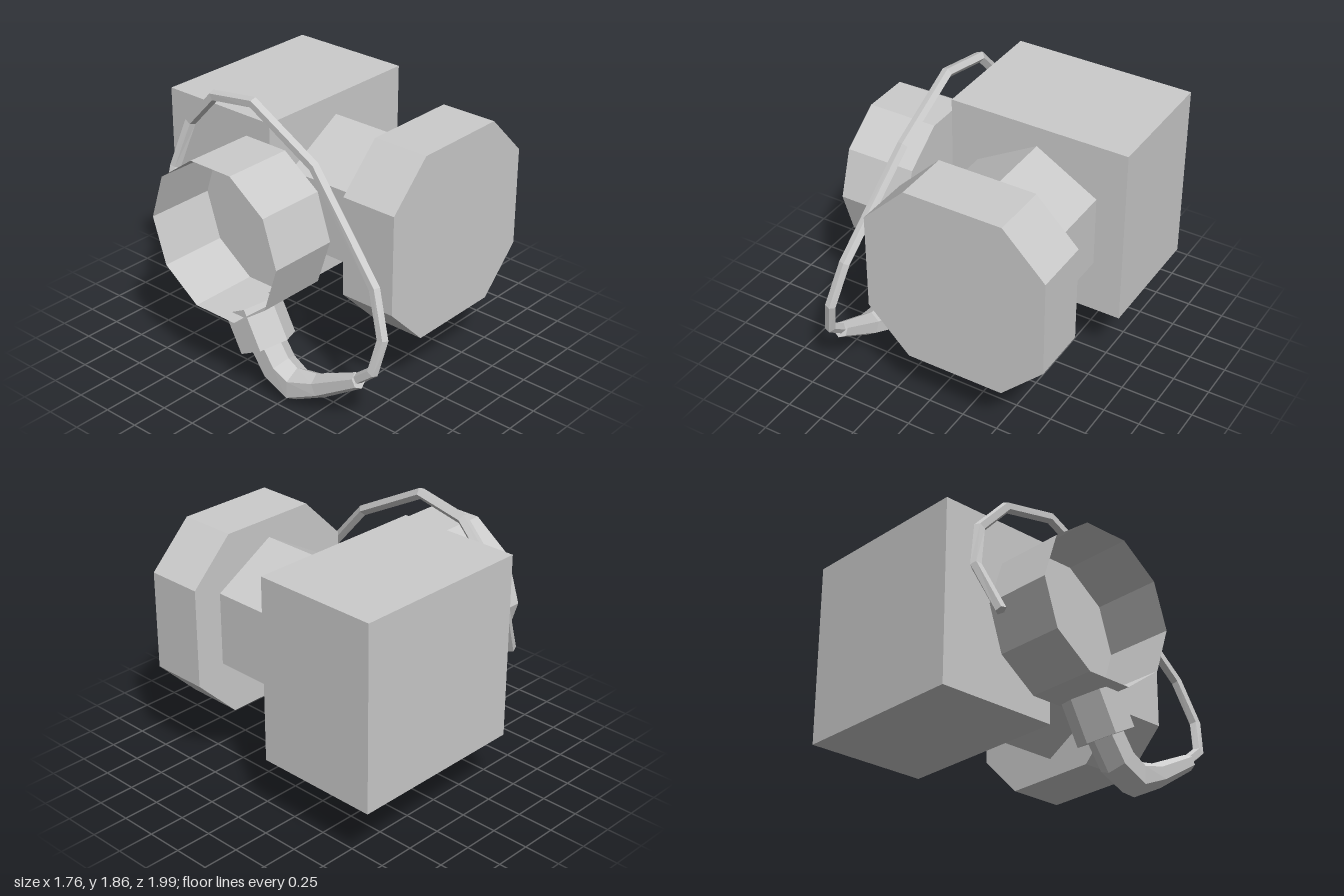
import * as THREE from 'three';

const material = new THREE.MeshStandardMaterial({ color: 0xcccccc, flatShading: true });
const openMaterial = new THREE.MeshStandardMaterial({ color: 0xcccccc, flatShading: true, side: THREE.DoubleSide });

// Faceted tube through points [x, y, z, radius], closed at both ends
function sweep(points, sides, phase) {
  const centres = points.map(p => new THREE.Vector3(p[0], p[1], p[2]));
  const last = centres.length - 1;
  const pos = [], index = [];
  centres.forEach((c, i) => {
    const before = c.clone().sub(centres[Math.max(i - 1, 0)]).normalize();
    const after = centres[Math.min(i + 1, last)].clone().sub(c).normalize();
    const t = before.clone().add(after).normalize();
    const s = new THREE.Vector3(1, 0, 0);
    s.addScaledVector(t, -s.dot(t)).normalize();
    const n = t.clone().cross(s);
    // widen the mitre so that the tube keeps its thickness in bends
    const mitre = (i === 0 || i === last) ? 1 : 1 / Math.sqrt((1 + before.dot(after)) / 2);
    for (let j = 0; j < sides; j++) {
      const a = phase + j / sides * Math.PI * 2;
      const v = c.clone().addScaledVector(s, points[i][3] * Math.cos(a))
        .addScaledVector(n, points[i][3] * mitre * Math.sin(a));
      pos.push(v.x, v.y, v.z);
    }
  });
  for (let i = 0; i < last; i++) {
    for (let j = 0; j < sides; j++) {
      const k = (j + 1) % sides;
      const a = i * sides + j, b = i * sides + k;
      index.push(a, b, b + sides, a, b + sides, a + sides);
    }
  }
  const end = last * sides;
  for (let j = 1; j < sides - 1; j++) {
    index.push(0, j + 1, j, end, end + j, end + j + 1);
  }
  const g = new THREE.BufferGeometry();
  g.setAttribute('position', new THREE.Float32BufferAttribute(pos, 3));
  g.setIndex(index);
  g.computeVertexNormals();
  return g;
}

export function createModel() {
  const model = new THREE.Group();
  const add = (name, geometry, position = [0, 0, 0], mat = material, parent = model) => {
    const mesh = new THREE.Mesh(geometry, mat);
    mesh.name = name;
    mesh.position.set(...position);
    parent.add(mesh);
    return mesh;
  };

  // Rear block
  add('rearBlock', new THREE.BoxGeometry(1.25, 1.25, 0.86), [0.255, 1.045, -0.57]);

  // Six-sided neck with a ridge on top
  add('neck', new THREE.CylinderGeometry(0.495, 0.495, 0.62, 6).rotateX(Math.PI / 2), [0.25, 1.037, 0.16]);

  // Front head: a square plate with cut corners
  const h = 0.625, c = 0.335;
  const outline = [[h, -c], [h, c], [c, h], [-c, h], [-h, c], [-h, -c], [-c, -h], [c, -h]];
  const head = new THREE.Shape(outline.map(p => new THREE.Vector2(...p)));
  add('frontHead', new THREE.ExtrudeGeometry(head, { depth: 0.39, bevelEnabled: false }), [0.255, 1.035, 0.46]);

  // Ten-sided cup, open to the outside
  const cup = new THREE.Group();
  cup.name = 'sideCup';
  cup.position.set(-0.64, 1.05, -0.145);
  cup.rotation.z = Math.PI / 2;
  model.add(cup);
  add('cupWall', new THREE.CylinderGeometry(0.527, 0.527, 0.48, 10, 1, true), [0, 0, 0], openMaterial, cup);
  add('cupFloor', new THREE.CircleGeometry(0.527, 10, Math.PI / 2).rotateX(Math.PI / 2), [0, -0.24, 0], openMaterial, cup);

  // Six-sided collar through the bottom of the cup
  const collar = new THREE.Group();
  collar.name = 'collar';
  collar.position.set(-0.633, 0.438, 0.005);
  collar.rotation.x = -0.49;
  model.add(collar);
  add('collarWall', new THREE.CylinderGeometry(0.185, 0.185, 0.28, 6, 1, true), [0, 0, 0], openMaterial, collar);
  add('collarFloor', new THREE.CircleGeometry(0.185, 6, Math.PI / 2).rotateX(Math.PI / 2), [0, -0.14, 0], openMaterial, collar);

  // Tapering bent pipe
  add('bentPipe', sweep([
    [-0.633, 0.33, 0.06, 0.115], [-0.633, 0.18, 0.165, 0.115], [-0.633, 0.11, 0.31, 0.11],
    [-0.633, 0.185, 0.51, 0.08], [-0.633, 0.355, 0.815, 0.054],
  ], 6, Math.PI / 2));

  // Thin cable looping over the cup
  const r = 0.036;
  add('cable', sweep([
    [-0.633, 0.35, 0.79, r], [-0.63, 0.455, 0.92, r], [-0.585, 0.675, 0.957, r],
    [-0.535, 0.96, 0.85, r], [-0.45, 1.55, 0.30, r], [-0.44, 1.815, -0.20, r],
    [-0.42, 1.755, -0.56, r], [-0.42, 1.52, -0.78, r], [-0.49, 1.20, -0.865, r],
    [-0.65, 0.86, -0.805, r],
  ], 5, 0));

  return model;
}
